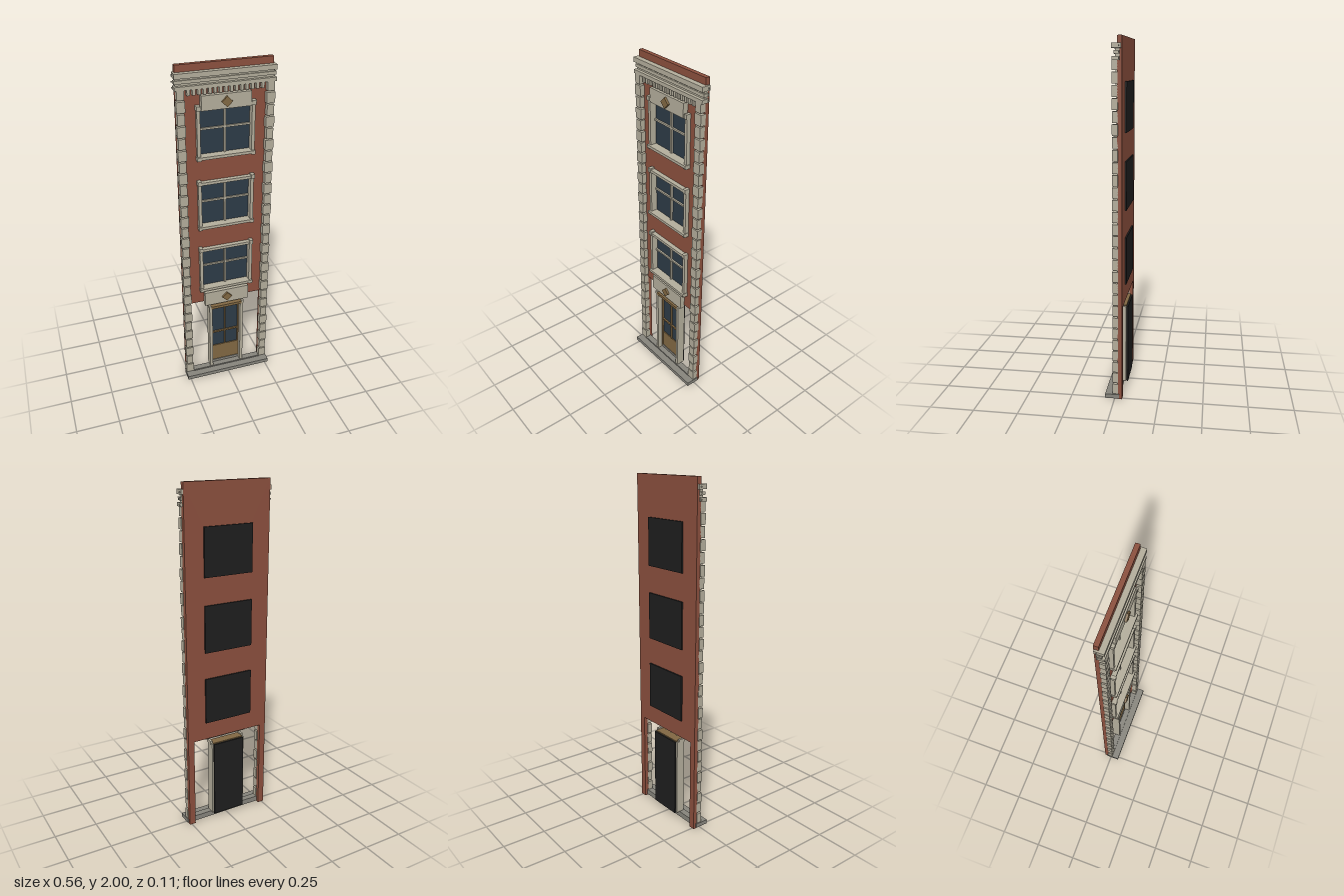
import * as THREE from 'three';

const mat = (name, color) => {
  const m = new THREE.MeshStandardMaterial({ color });
  m.name = name;
  return m;
};

export function createModel() {
  const brick = mat('brick', 0x8a4f3d);
  const stone = mat('stone', 0xb2ac9a);
  const step = mat('stepStone', 0x85837b);
  const glass = mat('glass', 0x2c3a46);
  const bronze = mat('bronze', 0x806742);
  const black = mat('blackBacking', 0x1e1e1e);

  const root = new THREE.Group();
  root.name = 'townhouseFacade';

  // box given by its limits on each axis
  const box = (parent, name, m, x0, x1, y0, y1, z0, z1) => {
    const mesh = new THREE.Mesh(new THREE.BoxGeometry(x1 - x0, y1 - y0, z1 - z0), m);
    mesh.position.set((x0 + x1) / 2, (y0 + y1) / 2, (z0 + z1) / 2);
    mesh.name = name;
    parent.add(mesh);
    return mesh;
  };
  const group = (name, y = 0) => {
    const g = new THREE.Group();
    g.name = name;
    g.position.y = y;
    root.add(g);
    return g;
  };

  const windowYs = [0.785, 1.21, 1.635];
  const wallBack = -0.043, wallFront = -0.018;

  // brick wall: open ground floor between two posts, three window holes
  const outline = new THREE.Shape([
    [-0.263, 0], [-0.225, 0], [-0.225, 0.545], [0.225, 0.545],
    [0.225, 0], [0.263, 0], [0.263, 2], [-0.263, 2],
  ].map(([x, y]) => new THREE.Vector2(x, y)));
  for (const y of windowYs) {
    outline.holes.push(new THREE.Path([
      [-0.145, y - 0.132], [-0.145, y + 0.132], [0.145, y + 0.132], [0.145, y - 0.132],
    ].map(([x, yy]) => new THREE.Vector2(x, yy))));
  }
  const wall = new THREE.Mesh(
    new THREE.ExtrudeGeometry(outline, { depth: wallFront - wallBack, bevelEnabled: false }), brick);
  wall.position.z = wallBack;
  wall.name = 'brickWall';
  root.add(wall);

  // front step and threshold
  box(root, 'frontStep', step, -0.269, 0.269, 0.006, 0.03, -0.027, 0.053);
  box(root, 'threshold', step, -0.225, 0.225, 0.03, 0.038, -0.027, 0.01);

  // corner quoins, with brick joints between the blocks
  const quoins = group('quoins');
  const rows = 28, pitch = (1.89 - 0.03) / rows;
  for (const s of [-1, 1]) {
    for (let i = 0; i < rows; i++) {
      const inner = i % 2 ? 0.224 : 0.22, outer = i % 2 ? 0.263 : 0.267;
      const y = 0.03 + i * pitch;
      box(quoins, 'quoin', stone, Math.min(s * inner, s * outer), Math.max(s * inner, s * outer),
        y + 0.004, y + pitch - 0.004, -0.021, 0.01);
    }
  }

  // windows
  for (const y of windowYs) {
    const w = group('window', y);
    box(w, 'backing', black, -0.15, 0.15, -0.135, 0.135, -0.052, -0.042);
    box(w, 'pane', glass, -0.146, 0.146, -0.133, 0.133, -0.042, -0.032);
    box(w, 'mullion', stone, -0.005, 0.005, -0.13, 0.13, -0.032, -0.02);
    box(w, 'glazingBar', stone, -0.143, 0.143, 0.01, 0.02, -0.032, -0.022);
    for (const s of [-1, 1]) {
      box(w, 'jamb', stone, s * 0.151 - 0.009, s * 0.151 + 0.009, -0.13, 0.135, -0.032, 0.005);
      box(w, 'jambCap', stone, s * 0.153 - 0.01, s * 0.153 + 0.01, 0.127, 0.152, -0.02, 0.012);
      box(w, 'jambFoot', stone, s * 0.153 - 0.01, s * 0.153 + 0.01, -0.152, -0.13, -0.02, 0.012);
    }
    box(w, 'head', stone, -0.16, 0.16, 0.128, 0.144, -0.032, 0.008);
    box(w, 'sill', stone, -0.162, 0.162, -0.144, -0.128, -0.032, 0.017);
  }

  // stone plaques with a bronze diamond
  for (const [y, h] of [[0.575, 0.092], [1.8, 0.08]]) {
    const p = group('plaque', y);
    box(p, 'plaqueSlab', stone, -0.136, 0.136, -h / 2, h / 2, -0.02, 0.011);
    box(p, 'diamond', bronze, -0.021, 0.021, -0.021, 0.021, 0.008, 0.023).rotation.z = Math.PI / 4;
  }

  // door with glazed upper part
  const door = group('door');
  box(door, 'backing', black, -0.099, 0.099, 0.032, 0.5, -0.056, -0.046);
  box(door, 'pane', glass, -0.09, 0.09, 0.165, 0.495, -0.046, -0.034);
  box(door, 'kickPanel', bronze, -0.09, 0.09, 0.055, 0.17, -0.046, -0.028);
  box(door, 'bottomRail', step, -0.09, 0.09, 0.038, 0.055, -0.046, -0.024);
  box(door, 'mullion', bronze, -0.004, 0.004, 0.17, 0.49, -0.034, -0.024);
  box(door, 'glazingBar', bronze, -0.088, 0.088, 0.276, 0.286, -0.034, -0.024);
  box(door, 'doorHead', bronze, -0.098, 0.098, 0.489, 0.506, -0.046, 0.008);
  for (const s of [-1, 1]) {
    box(door, 'stile', bronze, s * 0.0865 - 0.0035, s * 0.0865 + 0.0035, 0.04, 0.49, -0.046, -0.024);
    box(door, 'jamb', stone, s * 0.099 - 0.009, s * 0.099 + 0.009, 0.036, 0.5, -0.045, 0.006);
    box(door, 'jambCap', stone, s * 0.104 - 0.007, s * 0.104 + 0.007, 0.495, 0.514, -0.03, 0.01);
  }

  // cornice: stacked bands over a row of dentils
  const cornice = group('cornice');
  box(cornice, 'lowerBand', stone, -0.273, 0.273, 1.877, 1.897, -0.03, 0.01);
  box(cornice, 'middleBand', stone, -0.273, 0.273, 1.908, 1.925, -0.03, -0.001);
  box(cornice, 'upperBand', stone, -0.273, 0.273, 1.937, 1.963, -0.039, 0.0105);
  box(cornice, 'corniceCore', stone, -0.265, 0.265, 1.88, 1.95, -0.03, -0.008);
  for (const y of [1.883, 1.913, 1.945]) {
    box(cornice, 'drip', stone, -0.28, 0.28, y, y + 0.008, -0.028, -0.025);
  }
  const dentils = 15;
  for (let i = 0; i < dentils; i++) {
    const x = -0.2 + (0.4 * i) / (dentils - 1);
    box(cornice, 'dentil', stone, x - 0.008, x + 0.008, 1.845, 1.878, -0.02, 0.004);
  }

  return root;
}
